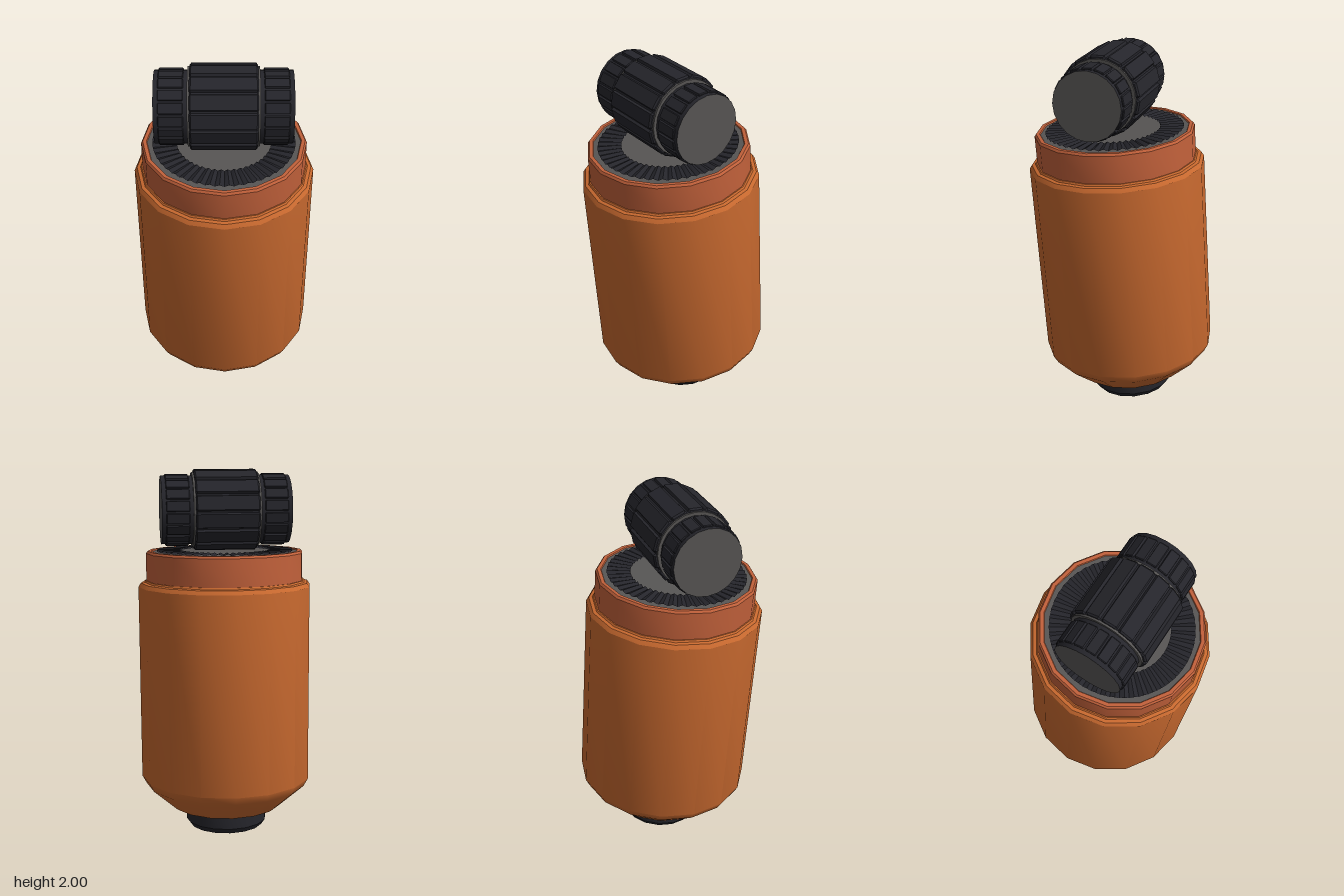
import * as THREE from 'three';
import { toCreasedNormals } from 'three/addons/utils/BufferGeometryUtils.js';

const mat = (color) => new THREE.MeshStandardMaterial({ color });

const orange = mat(0xc8692f);
const rust = mat(0xc0603a);
const grey = mat(0x575554);
const dark = mat(0x25252b);

function add(parent, name, geometry, material) {
  const mesh = new THREE.Mesh(geometry, material);
  mesh.name = name;
  parent.add(mesh);
  return mesh;
}

// Sixteen-sided turned part from [radius, height] pairs, bottom to top
function turned(points) {
  const profile = points.map(([r, y]) => new THREE.Vector2(r, y));
  return toCreasedNormals(new THREE.LatheGeometry(profile, 16), 0.5);
}

// Ribbed cylinder along z, centred, with n flat ribs separated by grooves
function ribbed(n, rGroove, rRib, length, bevel) {
  const shape = new THREE.Shape();
  const step = (Math.PI * 2) / n;
  const corners = [[0, rGroove], [0.2, rGroove], [0.27, rRib], [0.93, rRib]];
  for (let i = 0; i < n; i++) {
    corners.forEach(([f, r], j) => {
      const a = (i + f) * step;
      const x = (r - bevel) * Math.cos(a), y = (r - bevel) * Math.sin(a);
      if (i + j === 0) shape.moveTo(x, y);
      else shape.lineTo(x, y);
    });
  }
  shape.closePath();
  const g = new THREE.ExtrudeGeometry(shape, {
    depth: length - 2 * bevel, bevelEnabled: true,
    bevelSize: bevel, bevelThickness: bevel, bevelSegments: 1,
  });
  return g.translate(0, 0, bevel - length / 2);
}

// Flat annulus whose spokes rise and fall around the circle
function spokedRing(rIn, rOut, spokes, height) {
  const g = new THREE.RingGeometry(rIn, rOut, spokes * 2, 1);
  const p = g.attributes.position;
  const perRow = spokes * 2 + 1;
  for (let i = 0; i < p.count; i++) p.setZ(i, (i % perRow) % 2 ? height : 0);
  g.rotateX(-Math.PI / 2);
  return toCreasedNormals(g, 0.02);
}

export function createModel() {
  const model = new THREE.Group();
  model.name = 'model';

  // Body, leaning slightly
  const body = new THREE.Group();
  body.name = 'body';
  const axis = new THREE.Vector3(-0.023, 1, 0.066).normalize();
  body.quaternion.setFromUnitVectors(new THREE.Vector3(0, 1, 0), axis);
  body.position.set(0.017, 0.014, -0.054);
  const turn = new THREE.Group();
  turn.name = 'bodyParts';
  turn.rotation.y = 0.086;
  body.add(turn);
  model.add(body);

  add(turn, 'bottomPlug', turned([
    [0, 0], [0.205, 0], [0.226, 0.03], [0.226, 0.13],
  ]), dark);

  add(turn, 'mainCasing', turned([
    [0, 0.121], [0.309, 0.121], [0.45, 0.246], [0.474, 0.29],
    [0.474, 1.36], [0.46, 1.381], [0.442, 1.385], [0.436, 1.394], [0.42, 1.394],
  ]), orange);

  add(turn, 'neck', turned([
    [0.43, 1.385], [0.43, 1.541], [0.421, 1.553], [0.402, 1.553], [0.398, 1.546],
  ]), rust);

  add(turn, 'topPlate', turned([[0.4, 1.547], [0, 1.547]]), grey);
  const ring = add(turn, 'spokedRing', spokedRing(0.245, 0.37, 48, 0.01), dark);
  ring.position.y = 1.549;

  // Roller lying across the top, built along its own z axis
  const roller = new THREE.Group();
  roller.name = 'roller';
  roller.position.set(-0.026, 1.782, 0.068);
  roller.rotation.y = Math.atan2(0.952, 0.307);
  model.add(roller);

  add(roller, 'rollerMiddle', ribbed(14, 0.206, 0.218, 0.34, 0.008), dark);

  for (const s of [-1, 1]) {
    const core = new THREE.CylinderGeometry(0.185, 0.185, 0.175, 20);
    core.rotateX(Math.PI / 2);
    const end = add(roller, 'rollerEnd', core, [dark, grey, grey]);
    end.position.z = s * 0.2595;

    const grip = add(roller, 'rollerGrip', ribbed(18, 0.182, 0.193, 0.125, 0.004), dark);
    grip.position.z = s * 0.262;

    const collar = new THREE.CylinderGeometry(0.201, 0.201, 0.012, 24);
    collar.rotateX(Math.PI / 2);
    add(roller, 'rollerCollar', collar, grey).position.z = s * 0.174;
  }

  return model;
}
